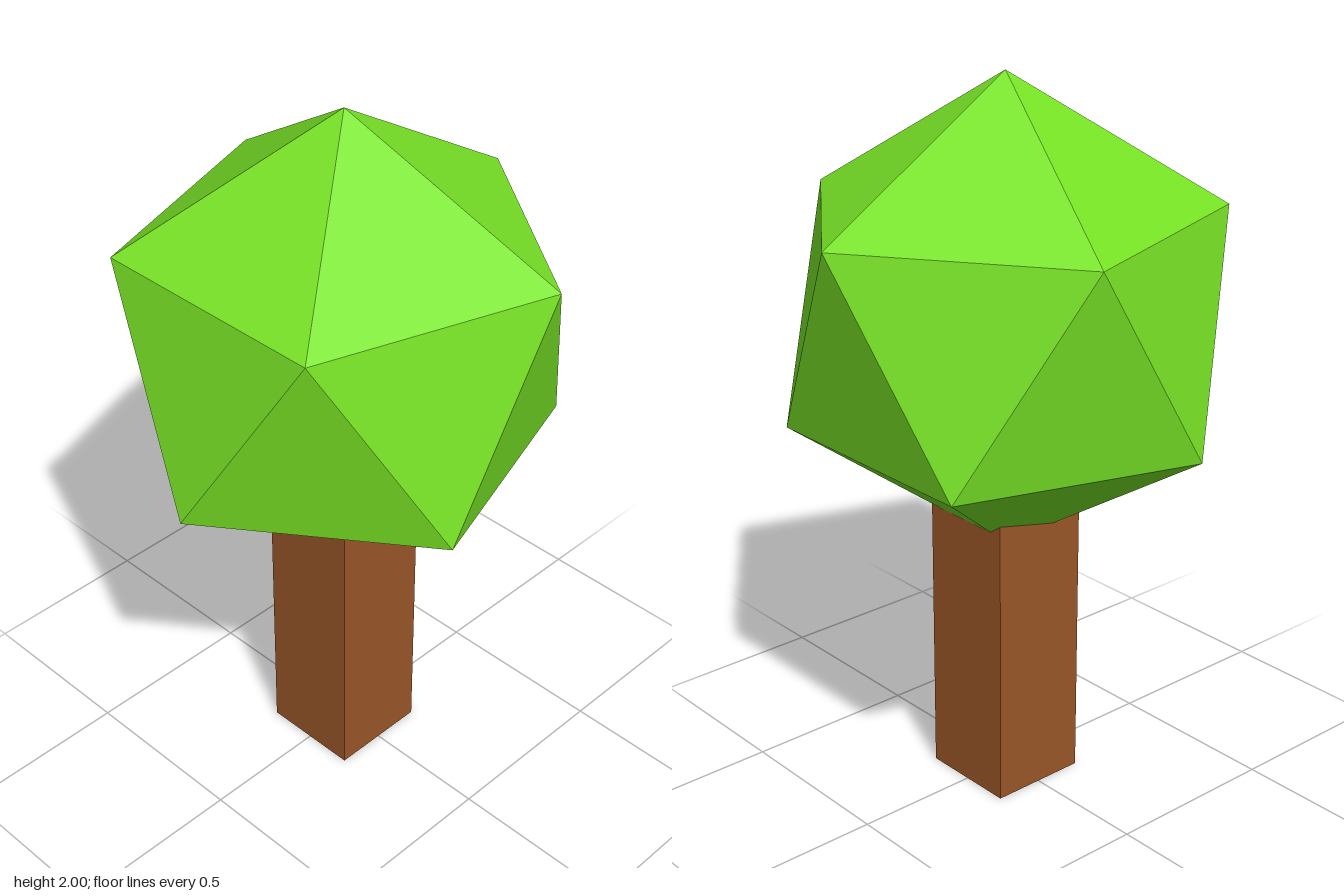
import * as THREE from 'three';

export function createModel() {
  const tree = new THREE.Group();
  tree.name = 'tree';

  const leafGreen = new THREE.MeshStandardMaterial({ color: 0x78e326, flatShading: true });
  leafGreen.name = 'leafGreen';
  const barkBrown = new THREE.MeshStandardMaterial({ color: 0x9a5728, flatShading: true });
  barkBrown.name = 'barkBrown';

  // Square trunk, its top sunk into the foliage
  const trunkHeight = 1.0;
  const trunk = new THREE.Mesh(new THREE.BoxGeometry(0.284, trunkHeight, 0.284), barkBrown);
  trunk.name = 'trunk';
  trunk.position.y = trunkHeight / 2;
  tree.add(trunk);

  // Low-poly crown: an icosahedron tipped so that one corner points straight up
  const radius = 0.652;
  const golden = (1 + Math.sqrt(5)) / 2;
  const crownShape = new THREE.IcosahedronGeometry(radius, 0).rotateZ(-Math.atan(1 / golden));
  const crown = new THREE.Mesh(crownShape, leafGreen);
  crown.name = 'crown';
  crown.position.y = 2 - radius;
  tree.add(crown);

  return tree;
}
